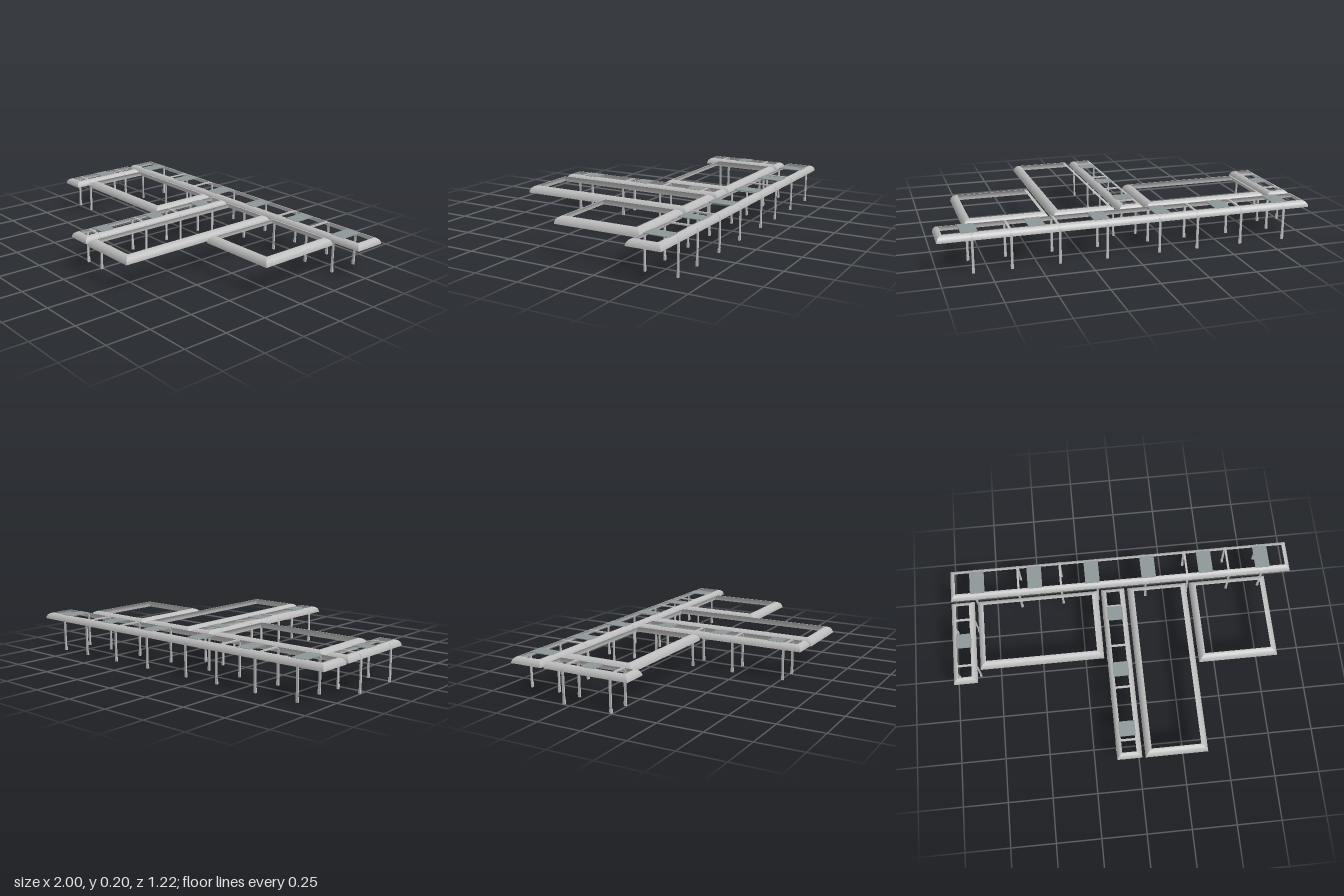
import * as THREE from 'three';

const metal = new THREE.MeshStandardMaterial({ color: 0xbcbcbc, side: THREE.DoubleSide });
metal.name = 'light grey metal';
const slate = new THREE.MeshStandardMaterial({ color: 0x8c9696, side: THREE.DoubleSide });
slate.name = 'slate grey panel';

const TOP = 0.204;
const BAND = 0.03;

// Open quarter-round shell swept round a rectangle, with mitred corners
function canopyEdge(x0, x1, z0, z1, band, height) {
  const steps = 8, pos = [], index = [];
  const corners = (d) => [[x0 + d, z1 - d], [x1 - d, z1 - d], [x1 - d, z0 + d], [x0 + d, z0 + d]];
  for (let side = 0; side < 4; side++) {
    const base = pos.length / 3;
    for (let i = 0; i <= steps; i++) {
      const a = (i / steps) * Math.PI / 2;
      const c = corners(band * (1 - Math.cos(a)));
      const y = TOP - height * (1 - Math.sin(a));
      const [p, q] = [c[side], c[(side + 1) % 4]];
      pos.push(p[0], y, p[1], q[0], y, q[1]);
      if (i < steps) {
        const k = base + i * 2;
        index.push(k, k + 1, k + 3, k, k + 3, k + 2);
      }
    }
  }
  const g = new THREE.BufferGeometry();
  g.setAttribute('position', new THREE.Float32BufferAttribute(pos, 3));
  g.setIndex(index);
  g.computeVertexNormals();
  return g;
}

// Flat-bar arch: two legs joined by a round-shouldered beam, spanning local x
function archGeometry(span) {
  const w = span / 2, t = 0.007, r = 0.028, top = TOP - 0.003;
  const s = new THREE.Shape();
  s.moveTo(-w, 0);
  s.lineTo(-w, top - r);
  s.quadraticCurveTo(-w, top, -w + r, top);
  s.lineTo(w - r, top);
  s.quadraticCurveTo(w, top, w, top - r);
  s.lineTo(w, 0);
  s.lineTo(w - t, 0);
  s.lineTo(w - t, top - r);
  s.quadraticCurveTo(w - t, top - t, w - r, top - t);
  s.lineTo(-w + r, top - t);
  s.quadraticCurveTo(-w + t, top - t, -w + t, top - r);
  s.lineTo(-w + t, 0);
  s.closePath();
  const g = new THREE.ExtrudeGeometry(s, { depth: 0.012, bevelEnabled: false, curveSegments: 6 });
  return g.translate(0, 0, -0.006);
}

function add(parent, geometry, material, name) {
  const m = new THREE.Mesh(geometry, material);
  m.name = name;
  parent.add(m);
  return m;
}

// Narrow covered walk: rounded edge, arches along its length and roof panels
function walkway(name, [x0, x1, z0, z1], arches, panels) {
  const group = new THREE.Group();
  group.name = name;
  add(group, canopyEdge(x0, x1, z0, z1, BAND, 0.034), metal, 'roofEdge');
  const alongX = x1 - x0 > z1 - z0;
  const cx = (x0 + x1) / 2, cz = (z0 + z1) / 2;
  const span = alongX ? z1 - z0 : x1 - x0;
  const arch = archGeometry(span);
  for (const p of arches) {
    const m = add(group, arch, metal, 'legArch');
    m.position.set(alongX ? p : cx, 0, alongX ? cz : p);
    if (alongX) m.rotation.y = Math.PI / 2;
    // Small feet
    for (const s of [-1, 1]) {
      const foot = add(group, new THREE.BoxGeometry(0.01, 0.025, 0.014), metal, 'foot');
      const off = s * (span / 2 - 0.005);
      foot.position.set(alongX ? p : cx + off, 0.0125, alongX ? cz + off : p);
      if (alongX) foot.rotation.y = Math.PI / 2;
    }
  }
  const inner = span - 2 * BAND + 0.012;
  for (const p of panels) {
    const g = new THREE.BoxGeometry(alongX ? 0.085 : inner, 0.004, alongX ? inner : 0.085);
    add(group, g, slate, 'roofPanel').position.set(alongX ? p : cx, TOP - 0.001, alongX ? cz : p);
  }
  return group;
}

export function createModel() {
  const model = new THREE.Group();
  model.name = 'canopyComplex';

  model.add(
    walkway('backWalkway', [-1, 1, -0.612, -0.424],
      [-0.853, -0.602, -0.353, -0.142, 0.142, 0.39, 0.636, 0.829],
      [-0.842, -0.505, -0.168, 0.163, 0.5, 0.837]),
    walkway('sideWalkway', [-0.998, -0.863, -0.407, 0.09], [-0.29, -0.01], [-0.158]),
    walkway('middleWalkway', [-0.125, 0.013, -0.407, 0.61],
      [-0.29, -0.045, 0.205, 0.51], [-0.243, 0.099, 0.447])
  );

  // Wide roof borders, left open in the middle
  const borders = {
    wideRoofBorder: [-0.846, -0.142, -0.407, 0.012],
    longRoofBorder: [0.03, 0.376, -0.407, 0.61],
    squareRoofBorder: [0.393, 0.842, -0.407, 0.09],
  };
  borders.wideRoofBorder[3] = -0.012 + 0.024;
  for (const [name, [x0, x1, z0, z1]] of Object.entries(borders)) {
    add(model, canopyEdge(x0, x1, z0, z1, 0.037, 0.04), metal, name);
  }
  return model;
}
